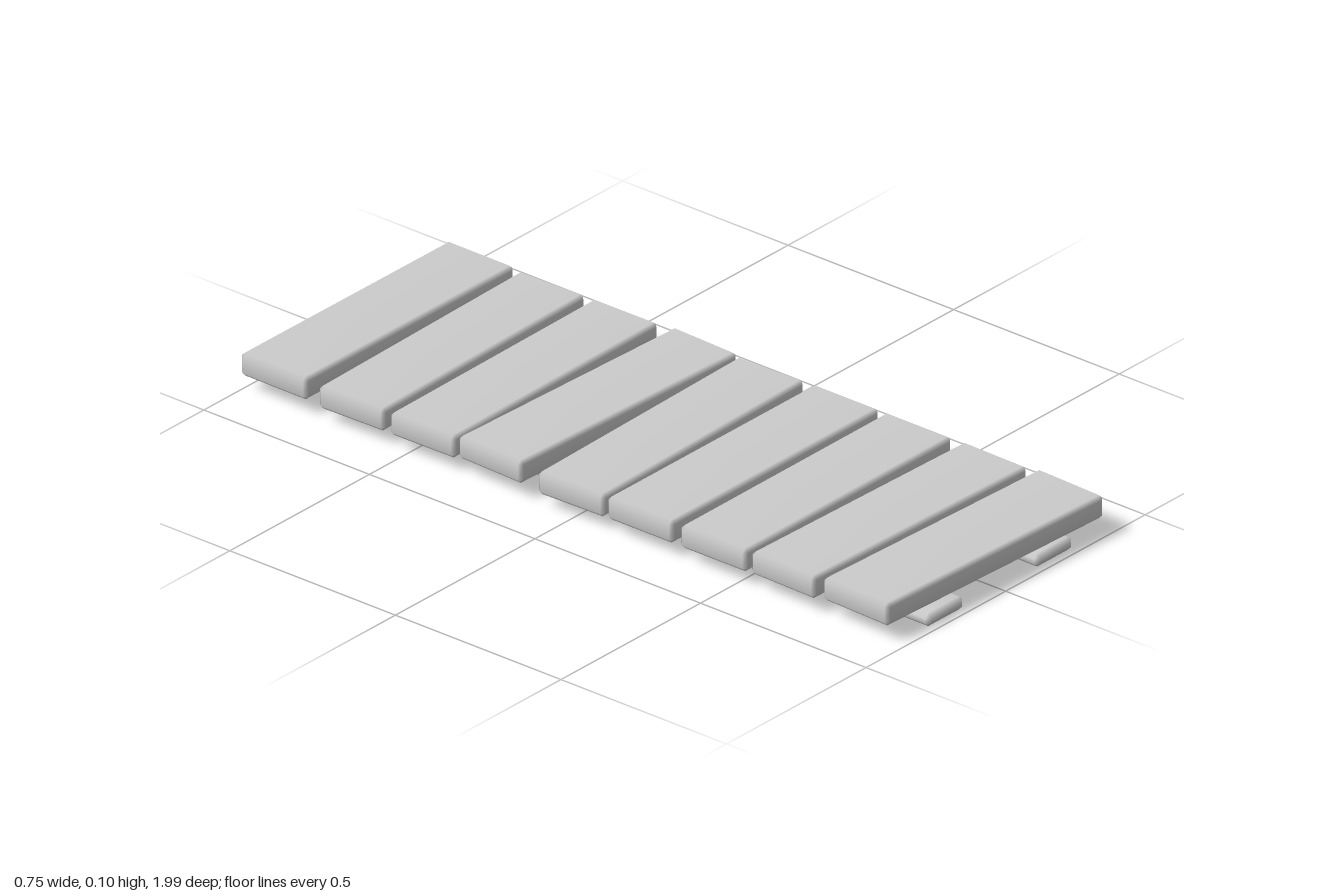
import * as THREE from 'three';
import { mergeVertices } from 'three/addons/utils/BufferGeometryUtils.js';
import { ConvexGeometry } from 'three/addons/geometries/ConvexGeometry.js';

// Box with chamfered edges and soft, shared normals
function chamferedBox(w, h, d, c) {
  const points = [];
  for (const sx of [-1, 1]) for (const sy of [-1, 1]) for (const sz of [-1, 1]) {
    for (const axis of [0, 1, 2]) {
      const p = [w, h, d].map((size, i) => size / 2 - (i === axis ? 0 : c));
      points.push(new THREE.Vector3(sx * p[0], sy * p[1], sz * p[2]));
    }
  }
  const hull = new ConvexGeometry(points);
  hull.deleteAttribute('normal');
  const geometry = mergeVertices(hull, 1e-5);
  geometry.computeVertexNormals();
  return geometry;
}

export function createModel() {
  const group = new THREE.Group();
  const material = new THREE.MeshStandardMaterial({ color: 0xcccccc });

  // Two long rails lying on the ground
  const railGeometry = chamferedBox(0.13, 0.035, 1.98, 0.011);
  for (const side of [-1, 1]) {
    const rail = new THREE.Mesh(railGeometry, material);
    rail.name = side > 0 ? 'leftRail' : 'rightRail';
    rail.position.set(side * 0.195, 0.0175, -0.003);
    group.add(rail);
  }

  // Slightly crooked planks: z centre, top height, depth, turn about y
  const planks = [
    [-0.897, 0.099, 0.203, -0.004],
    [-0.672, 0.094, 0.196, 0.023],
    [-0.454, 0.096, 0.196, 0.013],
    [-0.231, 0.101, 0.2, -0.038],
    [-0.01, 0.093, 0.198, 0.025],
    [0.208, 0.096, 0.2, 0],
    [0.428, 0.096, 0.201, 0.004],
    [0.649, 0.097, 0.198, -0.025],
    [0.873, 0.101, 0.206, -0.038],
  ];
  const thickness = 0.06;
  planks.forEach(([z, top, depth, turn], i) => {
    const plank = new THREE.Mesh(chamferedBox(0.746, thickness, depth, 0.01), material);
    plank.name = `plank${i + 1}`;
    plank.position.set(-0.001, top - thickness / 2, z);
    plank.rotation.y = turn;
    group.add(plank);
  });

  return group;
}
